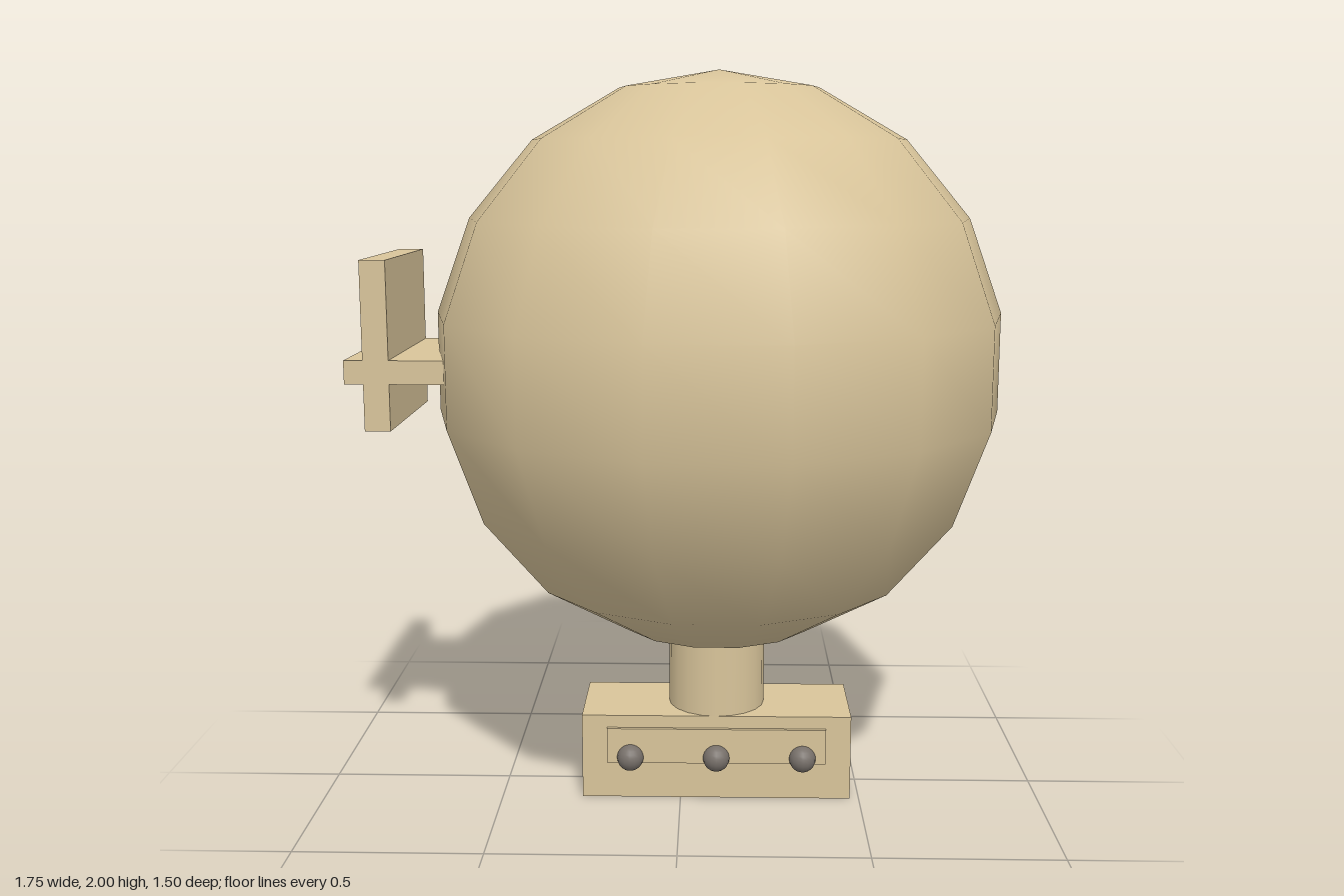
import * as THREE from 'three';

const CX = 0.1; // axis shared by globe, neck and base

export function createModel() {
  const model = new THREE.Group();
  const tan = new THREE.MeshStandardMaterial({ color: 0xd8c49a });
  const dark = new THREE.MeshStandardMaterial({ color: 0x77706a });

  const add = (name, geometry, x, y, z, material = tan) => {
    const mesh = new THREE.Mesh(geometry, material);
    mesh.name = name;
    mesh.position.set(x, y, z);
    model.add(mesh);
    return mesh;
  };
  // Box given by its lower and upper corners
  const addBox = (name, [x0, y0, z0], [x1, y1, z1]) =>
    add(name, new THREE.BoxGeometry(x1 - x0, y1 - y0, z1 - z0),
      (x0 + x1) / 2, (y0 + y1) / 2, (z0 + z1) / 2);

  // Large smooth-shaded globe with a coarse outline
  add('globe', new THREE.SphereGeometry(0.783, 14, 9), CX, 1.217, 0);

  // Neck between globe and base
  add('neck', new THREE.CylinderGeometry(0.135, 0.135, 0.26, 20), CX, 0.35, 0);

  // Base block with a panel standing proud at front and back
  addBox('base', [-0.275, 0, -0.135], [0.475, 0.24, 0.135]);
  addBox('panel', [-0.205, 0.105, -0.146], [0.405, 0.205, 0.146]);

  // Row of three knobs on the front panel
  for (const i of [-1, 0, 1]) {
    add('knob', new THREE.SphereGeometry(0.037, 16, 12), CX + i * 0.24, 0.122, 0.148, dark);
  }

  // Side fitting: horizontal shelf crossed by an upright plate
  addBox('shelf', [-0.875, 1.187, -0.257], [-0.6, 1.25, 0.253]);
  addBox('uprightPlate', [-0.825, 1.063, -0.257], [-0.757, 1.51, 0.253]);

  return model;
}
